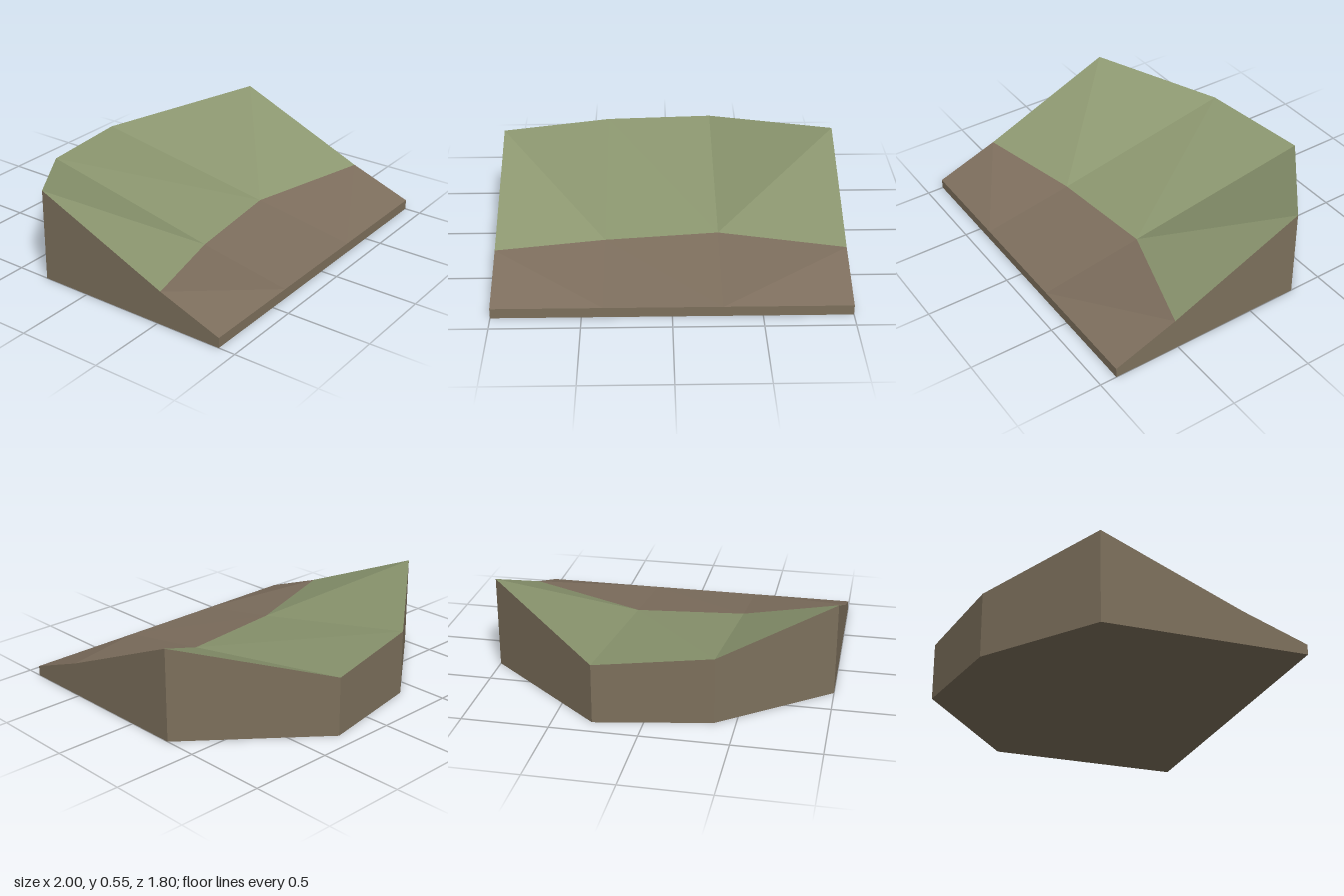
import * as THREE from 'three';

const mat = (name, color) => new THREE.MeshStandardMaterial({ name, color, flatShading: true });

// Mesh from a list of triangles, each made of three [x, y, z] corners
function faceted(name, triangles, material) {
  const geometry = new THREE.BufferGeometry();
  geometry.setAttribute('position', new THREE.Float32BufferAttribute(triangles.flat(2), 3));
  geometry.computeVertexNormals();
  const mesh = new THREE.Mesh(geometry, material);
  mesh.name = name;
  return mesh;
}

// Upward-facing strip between a back row and a front row; the last panel folds the other way
function strip(back, front) {
  const triangles = [];
  for (let i = 0; i < back.length - 1; i++) {
    const a = back[i], b = back[i + 1], c = front[i], d = front[i + 1];
    if (i < back.length - 2) triangles.push([a, c, d], [a, d, b]);
    else triangles.push([a, c, b], [b, c, d]);
  }
  return triangles;
}

export function createModel() {
  const grass = mat('grass green', 0x8b966f);
  const path = mat('path brown', 0x7d6e5d);
  const earth = mat('earth brown', 0x7d705c);

  // Rows of the slope, from left to right in x
  const ridge = [[-1, 0.55, -0.3], [-0.38, 0.39, -0.78], [0.28, 0.35, -0.9], [1, 0.55, -0.3]];
  const seam = [[-1, 0.2, 0.52], [-0.38, 0.16, 0.35], [0.28, 0.16, 0.28], [1, 0.2, 0.52]];
  const lip = [-1, -0.38, 0.28, 1].map((x) => [x, 0.06, 0.9]);

  // Outline of the block, counterclockwise from above
  const rim = [...lip, seam[3], ...[...ridge].reverse(), seam[0]];
  const floor = ([x, , z]) => [x, 0, z];
  const walls = [], base = [];
  rim.forEach((p, i) => {
    const q = rim[(i + 1) % rim.length];
    walls.push([floor(p), floor(q), q], [floor(p), q, p]);
    base.push([[0, 0, 0], floor(q), floor(p)]);
  });

  const group = new THREE.Group();
  group.name = 'hillside';
  group.add(
    faceted('grassSlope', strip(ridge, seam), grass),
    faceted('dirtSlope', strip(seam, lip), path),
    faceted('sideWalls', walls, earth),
    faceted('base', base, earth),
  );
  return group;
}
